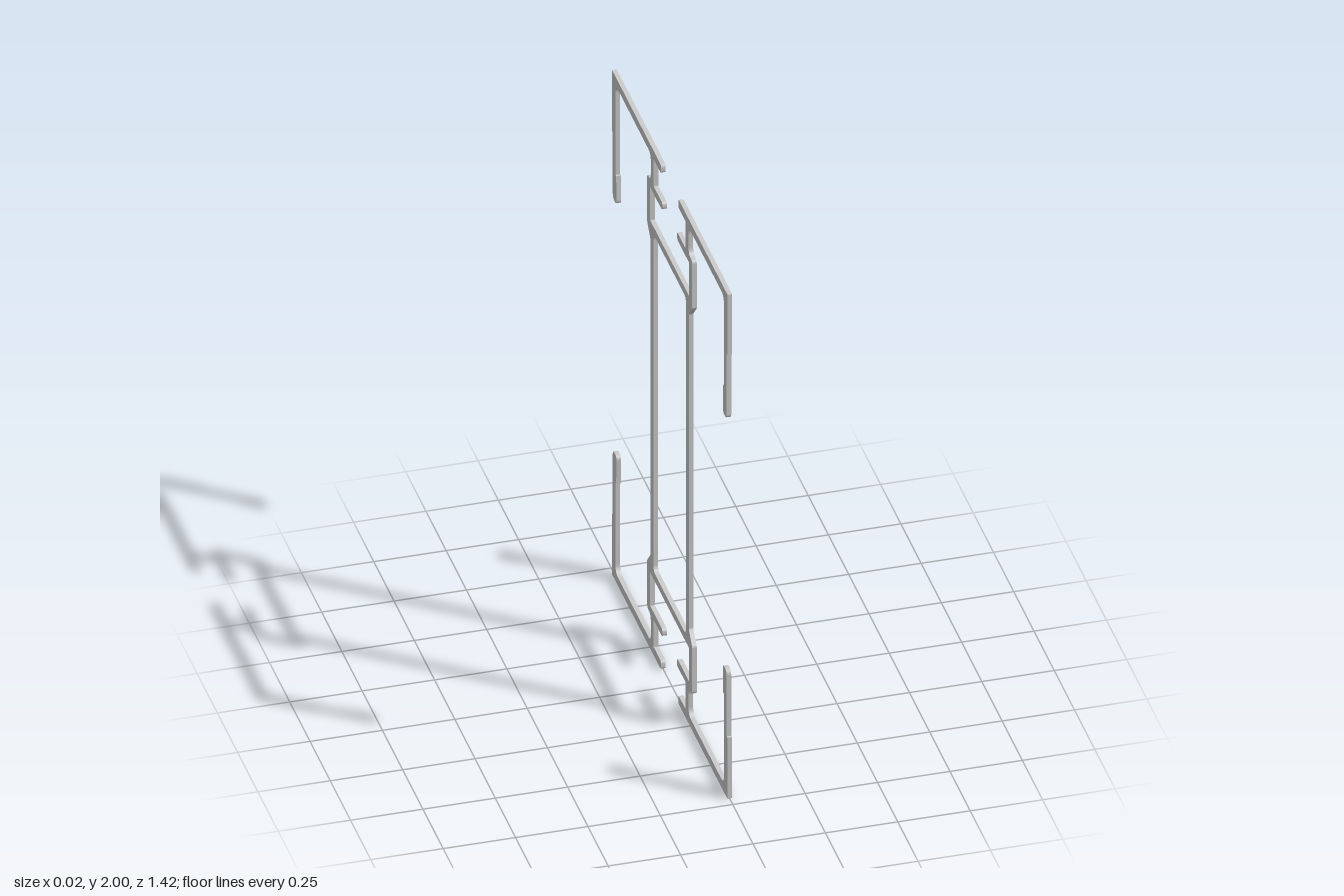
import * as THREE from 'three';

const THICKNESS = 0.016;

// Traces a closed outline of [x, y, radius] corners, rounding where radius > 0
function trace(path, pts) {
  const n = pts.length;
  pts.forEach(([x, y, r = 0], i) => {
    const p = new THREE.Vector2(x, y);
    const towards = ([ax, ay]) => {
      const d = new THREE.Vector2(ax, ay).sub(p);
      return p.clone().add(d.setLength(Math.min(r, d.length() * 0.5)));
    };
    const a = towards(pts[(i + n - 1) % n]);
    const b = towards(pts[(i + 1) % n]);
    if (i === 0) path.moveTo(a.x, a.y);
    else path.lineTo(a.x, a.y);
    if (r > 0) path.quadraticCurveTo(x, y, b.x, b.y);
  });
  path.closePath();
  return path;
}

// Upper quarter of the section, from the crossbar round to the web wall
const quarter = [
  [0.241, 1.698],
  [0.241, 1.83], [0.09, 1.83, 0.018], [0.09, 1.86, 0.012],   // inner lip
  [0.197, 1.86], [0.197, 1.967],                             // stem, inner side
  [0.106, 1.967, 0.012], [0.106, 2, 0.012],                  // flange tip
  [0.712, 2, 0.003],
  [0.712, 1.758], [0.703, 1.758],                            // step on the arm
  [0.703, 1.5, 0.018], [0.655, 1.5, 0.018],                  // rounded arm end
  [0.661, 1.61], [0.67, 1.61],
  [0.67, 1.967, 0.035], [0.233, 1.967, 0.03],                // inside of the arm
  [0.233, 1.86, 0.03],
  [0.278, 1.86, 0.015], [0.278, 1.67, 0.006],                // channel shoulder
  [0.236, 1.625, 0.006],
];

export function createModel() {
  const group = new THREE.Group();
  group.name = 'extrudedProfileSlice';

  // Mirror the quarter into the full outline
  const flip = (pts, sx, sy) => pts.map(([x, y, r]) => [x * sx, sy < 0 ? 2 - y : y, r]);
  const back = [...quarter].reverse();
  const shape = trace(new THREE.Shape(), [
    ...quarter,
    ...flip(back, 1, -1),
    ...flip(quarter, -1, -1),
    ...flip(back, -1, 1),
  ]);

  // Hollow core between the two webs
  shape.holes.push(trace(new THREE.Path(), [
    [-0.201, 0.332, 0.025], [0.201, 0.332, 0.025],
    [0.201, 1.668, 0.025], [-0.201, 1.668, 0.025],
  ]));

  const geometry = new THREE.ExtrudeGeometry(shape, {
    depth: THICKNESS, bevelEnabled: false, curveSegments: 8,
  });
  geometry.translate(0, 0, -THICKNESS / 2);
  geometry.rotateY(Math.PI / 2);

  const mesh = new THREE.Mesh(geometry, new THREE.MeshStandardMaterial({ color: 0xcccccc }));
  mesh.name = 'profileSection';
  group.add(mesh);
  return group;
}
